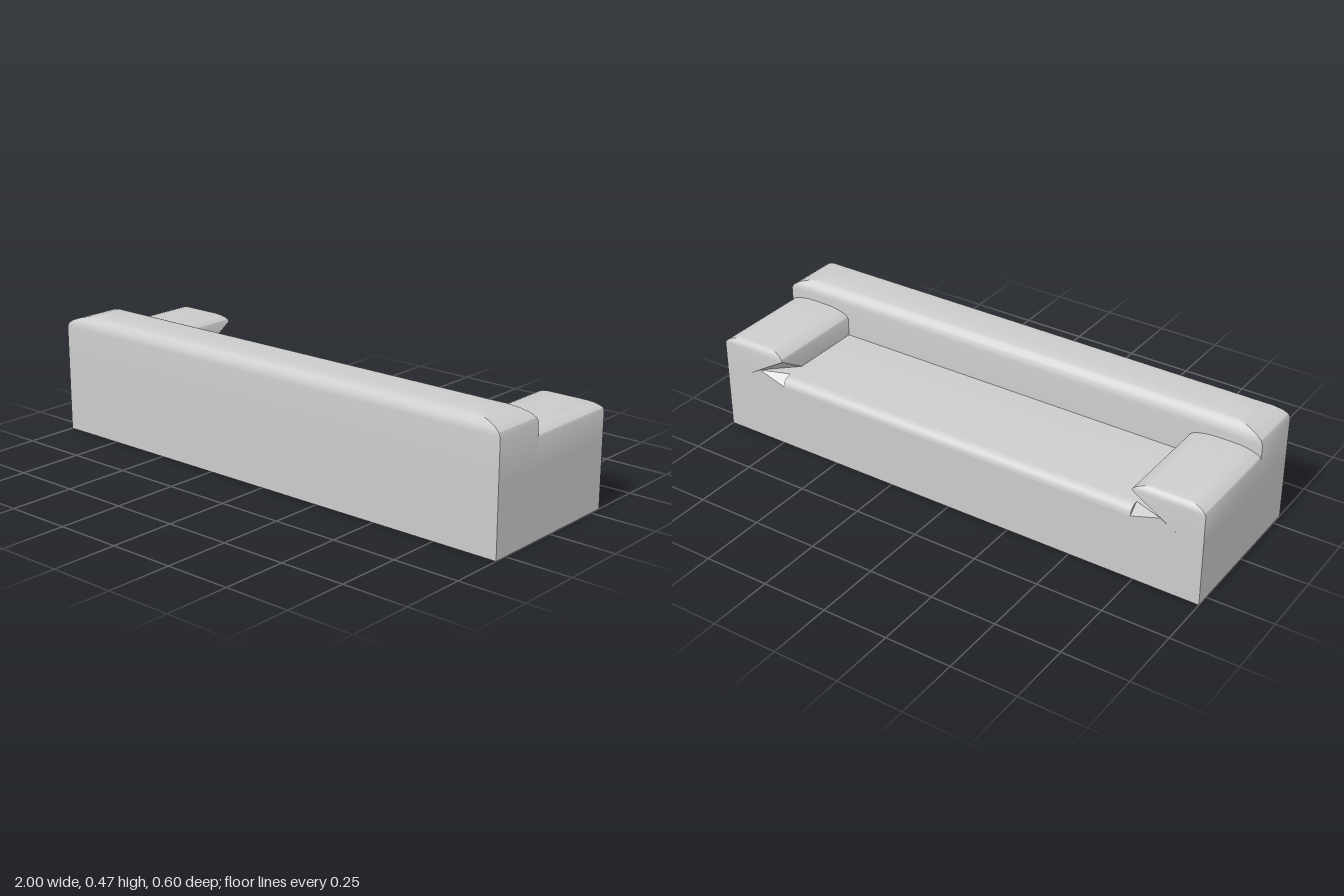
import * as THREE from 'three';
import { toCreasedNormals } from 'three/addons/utils/BufferGeometryUtils.js';
import { ConvexGeometry } from 'three/addons/geometries/ConvexGeometry.js';

const BASE = 0.25; // height where the seat, arms and backrest begin
const SEAT = 0.285;
const ARM = 0.73; // inner face of each arm
const BACK = -0.3;
const STEPS = 6;

const v = (x, y, z) => new THREE.Vector3(x, y, z);

// Rectangles that shrink along a quarter ellipse, giving a mitred, rounded top
function roundedTop(x0, x1, z0, z1, y0, y1, insetX, insetBack, insetFront) {
  const points = [];
  for (let i = 0; i <= STEPS; i++) {
    const t = (i / STEPS) * Math.PI / 2;
    const k = 1 - Math.cos(t);
    const y = y0 + (y1 - y0) * Math.sin(t);
    for (const x of [x0 + insetX * k, x1 - insetX * k]) {
      for (const z of [z0 + insetBack * k, z1 - insetFront * k]) points.push(v(x, y, z));
    }
  }
  return points;
}

export function createModel() {
  const group = new THREE.Group();
  const material = new THREE.MeshStandardMaterial({ color: 0xcccccc });
  const add = (name, geometry) => {
    const mesh = new THREE.Mesh(geometry, material);
    mesh.name = name;
    group.add(mesh);
  };
  const hull = (points) => toCreasedNormals(new ConvexGeometry(points), 0.5);

  // Solid base block
  add('base', new THREE.BoxGeometry(2, BASE, 0.6).translate(0, BASE / 2, 0));

  // Tall rounded backrest along one long side
  add('backrest', hull([
    ...[-1, 1].flatMap((x) => [v(x, BASE, 0.09), v(x, BASE, 0.3)]),
    ...roundedTop(-1, 1, 0.09, 0.3, 0.41, 0.465, 0.2, 0.065, 0.065),
  ]));

  // Seat with a rounded open edge, extruded across the width
  const profile = new THREE.Shape();
  profile.moveTo(-0.1, BASE);
  profile.lineTo(0.3, BASE);
  for (let i = 1; i <= STEPS; i++) {
    const t = (i / STEPS) * Math.PI / 2;
    profile.lineTo(0.26 + 0.04 * Math.cos(t), BASE + (SEAT - BASE) * Math.sin(t));
  }
  profile.lineTo(-0.1, SEAT);
  const seat = new THREE.ExtrudeGeometry(profile, { depth: 2 * ARM, bevelEnabled: false });
  seat.translate(0, 0, -ARM).rotateY(Math.PI / 2);
  add('seat', toCreasedNormals(seat, 0.5));

  for (const side of [1, -1]) {
    const label = side > 0 ? 'left' : 'right';
    const place = (points) => points.map((p) => v(p.x * side, p.y, p.z));

    // Arm with a rounded top and its lower inner corner cut away
    add(label + 'Arm', hull(place([
      v(1, BASE, BACK), v(0.9, BASE, BACK),
      v(ARM, BASE, -0.14), v(ARM, BASE, 0.1), v(1, BASE, 0.1),
      ...roundedTop(ARM, 1, BACK, 0.1, 0.353, 0.385, 0.11, 0.035, 0),
    ])));

    // Tapered end of the seat cushion tucked under the arm
    add(label + 'SeatEnd', hull(place([
      v(ARM, BASE, BACK), v(0.9, BASE, BACK), v(ARM, BASE, -0.14),
      v(ARM, SEAT, -0.26), v(0.84, SEAT, BACK), v(ARM, SEAT, -0.19),
    ])));
  }
  return group;
}
